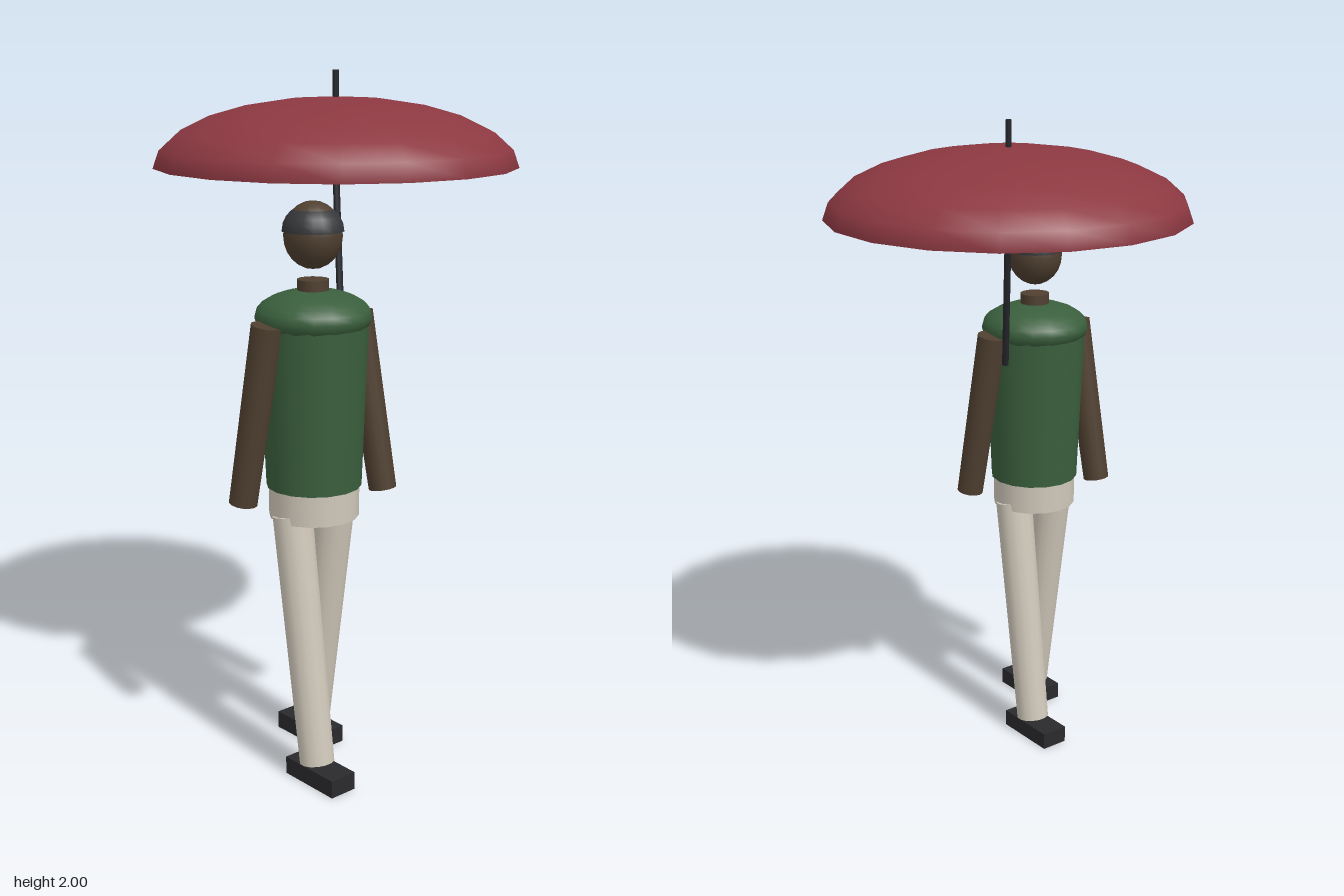
import * as THREE from 'three';

const material = (name, color, side = THREE.FrontSide) => {
  const m = new THREE.MeshStandardMaterial({ color, side });
  m.name = name;
  return m;
};

export function createModel() {
  const root = new THREE.Group();
  root.name = 'walkerWithUmbrella';

  const red = material('canopyRed', 0x8c3841, THREE.DoubleSide);
  const green = material('shirtGreen', 0x3a5f3d);
  const cream = material('trouserCream', 0xd0c8ba);
  const skin = material('skinBrown', 0x4f3f30);
  const black = material('shoeBlack', 0x2a2a2c);
  const metal = material('poleBlack', 0x24262a);
  const capGrey = material('capGrey', 0x36373a, THREE.DoubleSide);

  const add = (parent, name, geometry, mat, x = 0, y = 0, z = 0) => {
    const mesh = new THREE.Mesh(geometry, mat);
    mesh.name = name;
    mesh.position.set(x, y, z);
    parent.add(mesh);
    return mesh;
  };

  // Tapered rod running between two points
  const rod = (parent, name, top, bottom, rTop, rBottom, mat, sides = 14) => {
    const a = new THREE.Vector3(...top);
    const b = new THREE.Vector3(...bottom);
    const axis = a.clone().sub(b);
    const mesh = add(parent, name, new THREE.CylinderGeometry(rTop, rBottom, axis.length(), sides), mat);
    mesh.position.copy(a).add(b).multiplyScalar(0.5);
    mesh.quaternion.setFromUnitVectors(new THREE.Vector3(0, 1, 0), axis.normalize());
    return mesh;
  };

  // Umbrella: open canopy, spike and leaning pole
  const umbrella = new THREE.Group();
  umbrella.name = 'umbrella';
  root.add(umbrella);
  add(umbrella, 'canopy',
    new THREE.SphereGeometry(0.527, 18, 6, 0, Math.PI * 2, 0, Math.PI / 2).scale(1, 0.37, 1),
    red, 0, 1.73, 0);
  rod(umbrella, 'spike', [0, 2, 0], [0, 1.9, 0], 0.009, 0.009, metal, 8);
  rod(umbrella, 'pole', [0, 1.73, 0], [0.081, 1.265, 0.05], 0.01, 0.01, metal, 8);

  // Walker, offset under the canopy and striding along x
  const walker = new THREE.Group();
  walker.name = 'walker';
  walker.position.set(0.163, 0, 0.227);
  root.add(walker);

  add(walker, 'hips', new THREE.CylinderGeometry(0.13, 0.129, 0.105, 16), cream, 0, 0.8175, 0);
  add(walker, 'torso', new THREE.CylinderGeometry(0.155, 0.136, 0.48, 16), green, 0, 1.095, 0);
  add(walker, 'shoulders', new THREE.SphereGeometry(0.165, 18, 12).scale(1, 0.46, 1), green, 0, 1.342, 0);
  add(walker, 'neck', new THREE.CylinderGeometry(0.045, 0.045, 0.08, 14), skin, 0, 1.405, 0);
  add(walker, 'head', new THREE.SphereGeometry(0.083, 18, 12).scale(1, 1.13, 1), skin, 0, 1.567, 0);
  add(walker, 'cap',
    new THREE.SphereGeometry(0.087, 18, 6, 0, Math.PI * 2, 0, Math.PI / 2).scale(1, 0.88, 1),
    capGrey, 0, 1.578, 0);

  // Limbs: arms swing opposite to the legs
  for (const s of [1, -1]) {
    const side = s > 0 ? 'near' : 'far';
    rod(walker, side + 'Arm', [0, 1.335, s * 0.165], [-s * 0.075, 0.82, s * 0.198], 0.045, 0.041, skin);
    rod(walker, side + 'Leg', [0, 0.78, s * 0.08], [s * 0.11, 0.058, s * 0.086], 0.058, 0.051, cream);
    add(walker, side + 'Shoe', new THREE.BoxGeometry(0.203, 0.052, 0.086), black, s * 0.123, 0.026, s * 0.086);
  }

  return root;
}
